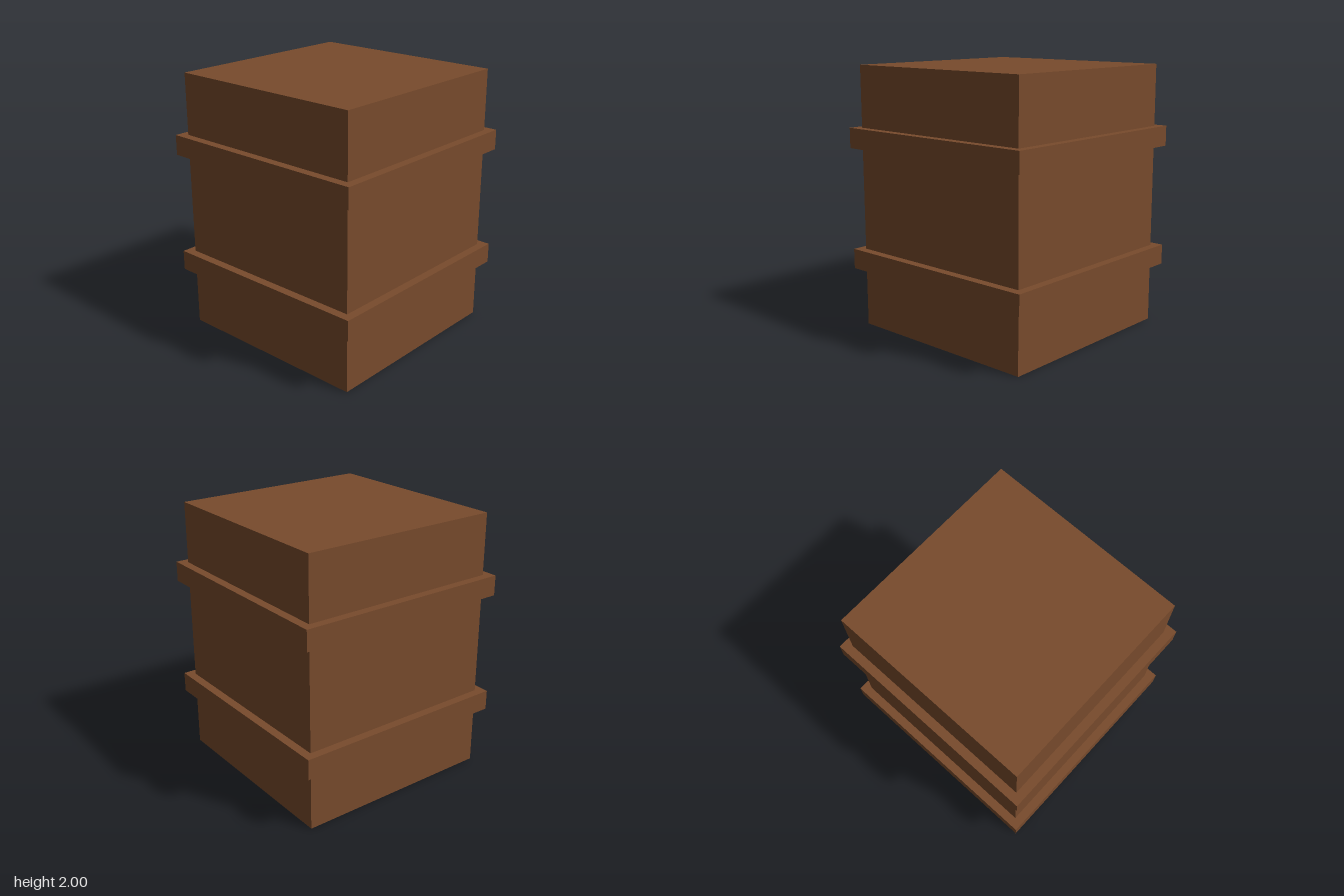
import * as THREE from 'three';

export function createModel() {
  const group = new THREE.Group();
  const wood = new THREE.MeshStandardMaterial({ color: 0x784b2c, flatShading: true });

  // Square-plan block spanning yMin to yMax
  const addBlock = (name, width, yMin, yMax) => {
    const mesh = new THREE.Mesh(new THREE.BoxGeometry(width, yMax - yMin, width), wood);
    mesh.name = name;
    mesh.position.y = (yMin + yMax) / 2;
    group.add(mesh);
  };

  // Crate body
  addBlock('body', 1.555, 0, 2);

  // Bands wrapped around the body
  addBlock('lowerBand', 1.685, 0.45, 0.603);
  addBlock('upperBand', 1.685, 1.382, 1.535);

  return group;
}
